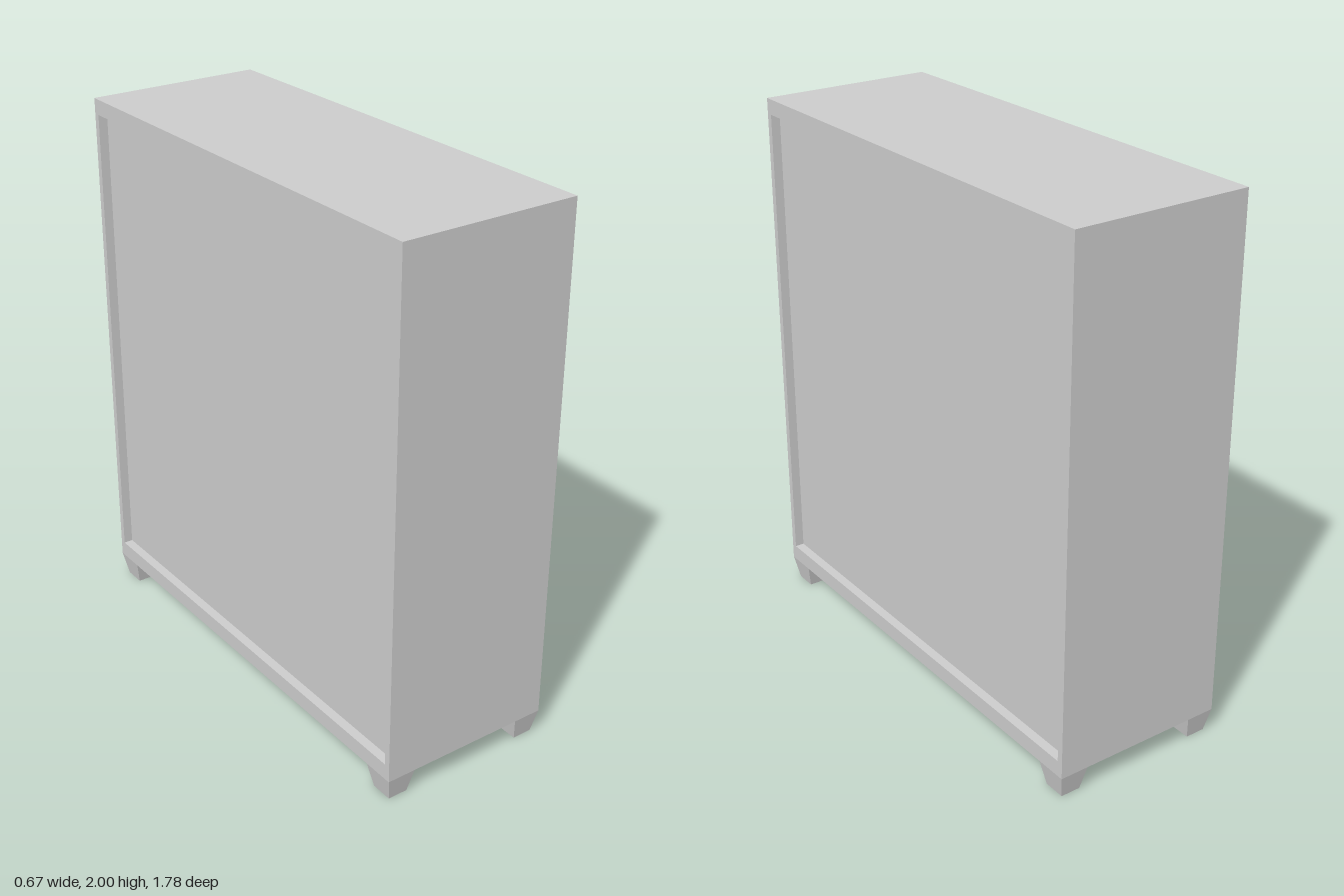
import * as THREE from 'three';

const W = 0.67, D = 1.78, BOTTOM = 0.09, TOP = 2, RECESS = 0.035;
const material = new THREE.MeshStandardMaterial({ color: 0xcccccc, flatShading: true });

function addMesh(group, name, geometry, x, y, z) {
  const mesh = new THREE.Mesh(geometry, material);
  mesh.name = name;
  mesh.position.set(x, y, z);
  group.add(mesh);
  return mesh;
}

// Rectangle in the z-y plane, used for the frame and its opening
function rectangle(Type, halfWidth, y0, y1) {
  return new Type([
    [-halfWidth, y0], [halfWidth, y0], [halfWidth, y1], [-halfWidth, y1],
  ].map(([x, y]) => new THREE.Vector2(x, y)));
}

// Short square foot, flush with the cabinet corner on top and narrower below
function footGeometry() {
  const geometry = new THREE.BoxGeometry(0.11, BOTTOM, 0.12);
  const p = geometry.attributes.position;
  for (let i = 0; i < p.count; i++) {
    if (p.getY(i) < 0) p.setXYZ(i, p.getX(i) * 0.68, p.getY(i), p.getZ(i) * 0.68);
  }
  geometry.computeVertexNormals();
  return geometry;
}

export function createModel() {
  const model = new THREE.Group();
  model.name = 'cabinet';

  // Outer frame, open on both broad sides
  const outline = rectangle(THREE.Shape, D / 2, BOTTOM, TOP);
  outline.holes.push(rectangle(THREE.Path, 0.867, 0.15, 1.943));
  const frame = new THREE.ExtrudeGeometry(outline, { depth: W, bevelEnabled: false });
  frame.translate(0, 0, -W / 2).rotateY(Math.PI / 2);
  addMesh(model, 'frame', frame, 0, 0, 0);

  // Recessed core that forms the panel on each broad side
  const core = new THREE.BoxGeometry(W - 2 * RECESS, 1.793, 1.734);
  addMesh(model, 'recessedPanels', core, 0, 1.0465, 0);

  // Four tapered feet at the corners
  const foot = footGeometry();
  for (const sx of [-1, 1]) {
    for (const sz of [-1, 1]) {
      addMesh(model, `${sz > 0 ? 'front' : 'back'}${sx > 0 ? 'Left' : 'Right'}Foot`, foot,
        sx * (W / 2 - 0.055), BOTTOM / 2, sz * (D / 2 - 0.06));
    }
  }
  return model;
}
